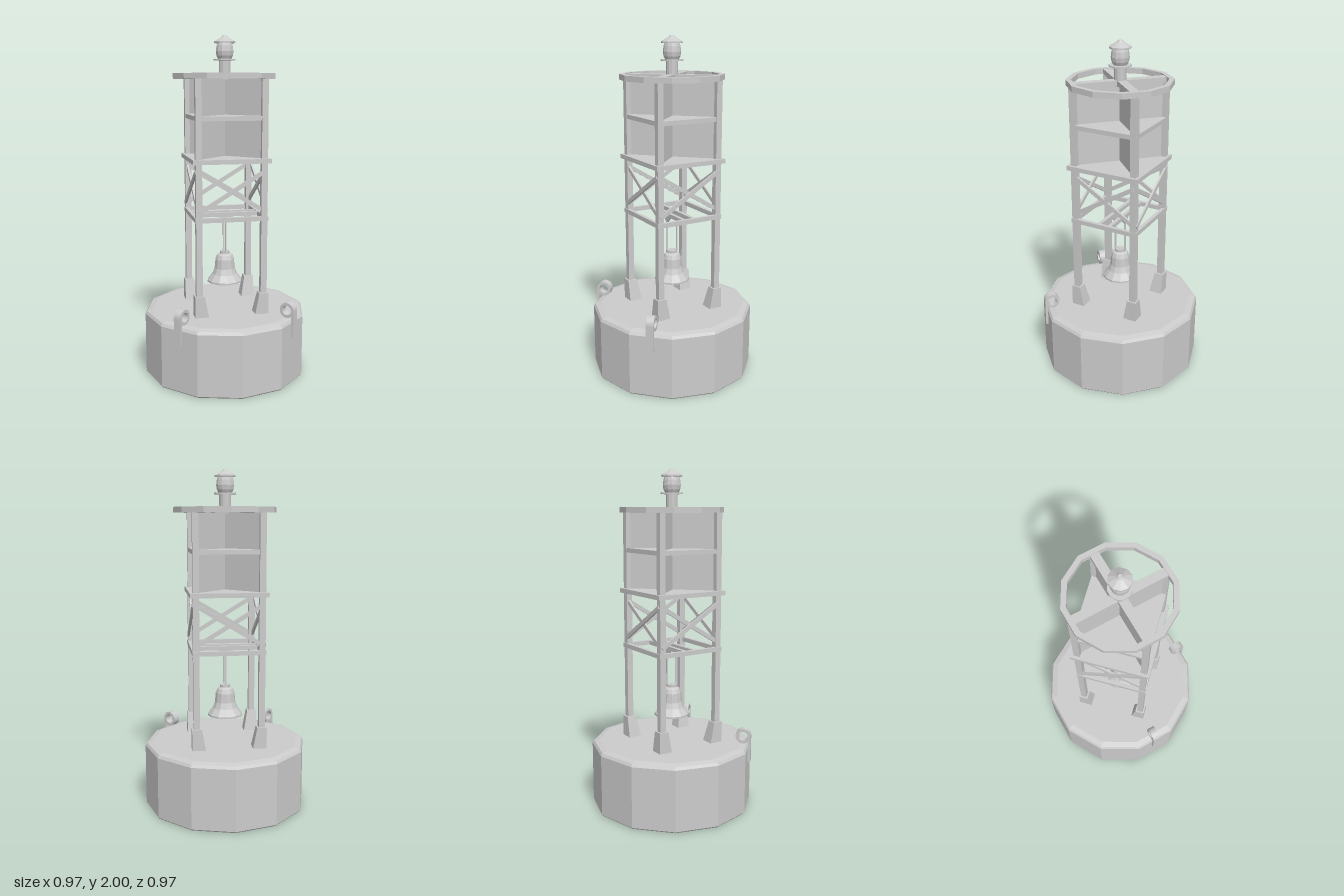
import * as THREE from 'three';

const mat = new THREE.MeshStandardMaterial({ color: 0xcccccc, flatShading: true, side: THREE.DoubleSide });

function add(parent, name, geo, x = 0, y = 0, z = 0) {
  const m = new THREE.Mesh(geo, mat);
  m.name = name;
  m.position.set(x, y, z);
  parent.add(m);
  return m;
}
const box = (w, h, d) => new THREE.BoxGeometry(w, h, d);
const lathe = (pts, n = 12) => new THREE.LatheGeometry(pts.map(p => new THREE.Vector2(...p)), n);

// Foot block: straight outer sides, inner sides leaning outwards to the post
function footGeometry(sx, sz) {
  const g = box(1, 1, 1), p = g.attributes.position;
  for (let i = 0; i < p.count; i++) {
    const top = p.getY(i) > 0, inner = top ? 0.162 : 0.137;
    p.setXYZ(i,
      sx * (p.getX(i) * sx > 0 ? 0.218 : inner),
      top ? 0.52 : 0.39,
      sz * (p.getZ(i) * sz > 0 ? 0.218 : inner));
  }
  return g;
}

// Lifting lug: flat strap up the hull side, curled into a ring above the deck edge
function lugGeometry() {
  const R = 0.045, r = 0.03, cy = 0.443, s = new THREE.Shape();
  s.moveTo(R, 0.285 - cy);
  s.lineTo(R, 0);
  s.absarc(0, 0, R, 0, Math.PI * 1.75, false);
  s.lineTo(r, -r);
  s.lineTo(r, 0.285 - cy);
  s.closePath();
  const hole = new THREE.Path();
  hole.absarc(0, 0, r, 0, Math.PI * 2, true);
  // keep the hole just inside the strap's inner edge
  hole.curves[0].xRadius = hole.curves[0].yRadius = r - 0.002;
  s.holes.push(hole);
  const g = new THREE.ExtrudeGeometry(s, { depth: 0.045, bevelEnabled: false, curveSegments: 10 });
  return g.translate(0.44, cy, -0.0225);
}

export function createModel() {
  const buoy = new THREE.Group();
  buoy.name = 'bellBuoy';

  // Float with a bevelled deck edge
  add(buoy, 'float', lathe([[0, 0], [0.478, 0], [0.485, 0.008], [0.485, 0.37], [0.475, 0.386], [0.44, 0.395], [0, 0.395]]));
  for (const a of [-Math.PI / 4, -Math.PI * 3 / 4])
    add(buoy, 'liftingLug', lugGeometry()).rotation.y = a;

  // Tower posts and feet
  const tower = new THREE.Group();
  tower.name = 'tower';
  buoy.add(tower);
  for (const sx of [-1, 1]) for (const sz of [-1, 1]) {
    add(tower, 'post', box(0.036, 1.37, 0.036), sx * 0.19, 1.075, sz * 0.19);
    add(tower, 'foot', footGeometry(sx, sz));
  }

  // Each side: lower rail and crossed braces
  for (let i = 0; i < 4; i++) {
    const side = new THREE.Group();
    side.name = 'sideFrame';
    side.rotation.y = i * Math.PI / 2;
    tower.add(side);
    add(side, 'lowerRail', box(0.424, 0.026, 0.022), 0, 0.964, 0.201);
    for (const s of [-1, 1]) {
      const brace = add(side, 'crossBrace', box(0.455, 0.024, 0.012), 0, 1.123, 0.2 + s * 0.006);
      brace.rotation.z = s * Math.atan2(0.23, 0.38);
    }
  }

  // Platform and radar reflector
  const reflector = new THREE.Group();
  reflector.name = 'radarReflector';
  buoy.add(reflector);
  add(reflector, 'platform', box(0.45, 0.026, 0.45), 0, 1.297, 0);
  add(reflector, 'shelf', box(0.41, 0.026, 0.41), 0, 1.537, 0);
  for (const s of [-1, 1]) {
    add(reflector, 'diagonalPanel', box(0.52, 0.45, 0.01), 0, 1.533, 0).rotation.y = s * Math.PI / 4;
    add(reflector, 'topBar', box(0.55, 0.028, 0.05), 0, 1.77, 0).rotation.y = s * Math.PI / 4;
  }

  // Ring around the tower top
  add(buoy, 'topRing', lathe([[0.272, 1.755], [0.302, 1.755], [0.302, 1.787], [0.272, 1.787], [0.272, 1.755]]));

  // Lantern
  const lantern = new THREE.Group();
  lantern.name = 'lantern';
  buoy.add(lantern);
  add(lantern, 'stem', new THREE.CylinderGeometry(0.034, 0.034, 0.12, 12), 0, 1.81, 0);
  add(lantern, 'flange', new THREE.CylinderGeometry(0.064, 0.064, 0.008, 12), 0, 1.863, 0);
  add(lantern, 'lens', lathe([[0, 1.865], [0.038, 1.865], [0.048, 1.885], [0.052, 1.91], [0.048, 1.94], [0.042, 1.96], [0, 1.96]]));
  add(lantern, 'cap', lathe([[0, 1.957], [0.062, 1.957], [0.062, 1.966], [0.02, 1.99], [0.012, 2], [0, 2]], 10));

  // Bell on two hangers
  const bell = new THREE.Group();
  bell.name = 'bell';
  buoy.add(bell);
  add(bell, 'bellBody', lathe([[0.085, 0.56], [0.09, 0.546], [0.105, 0.546], [0.105, 0.556], [0.075, 0.595], [0.062, 0.63],
    [0.057, 0.685], [0.047, 0.71], [0.03, 0.72], [0.03, 0.735], [0, 0.735]]));
  add(bell, 'bellInside', lathe([[0.085, 0.56], [0.062, 0.6], [0.05, 0.68], [0, 0.7]]));
  const gusset = new THREE.Shape([[-0.05, 0.955], [0, 0.908], [0.05, 0.955]].map(p => new THREE.Vector2(...p)));
  for (const s of [-1, 1]) {
    add(bell, 'hangerBeam', box(0.4, 0.024, 0.022), 0, 0.964, s * 0.033);
    add(bell, 'hangerRod', box(0.008, 0.225, 0.008), 0, 0.84, s * 0.033);
    add(bell, 'hangerGusset', new THREE.ExtrudeGeometry(gusset, { depth: 0.008, bevelEnabled: false }), 0, 0, s * 0.033 - 0.004);
  }
  add(bell, 'bellYoke', box(0.016, 0.012, 0.074), 0, 0.731, 0);

  return buoy;
}
